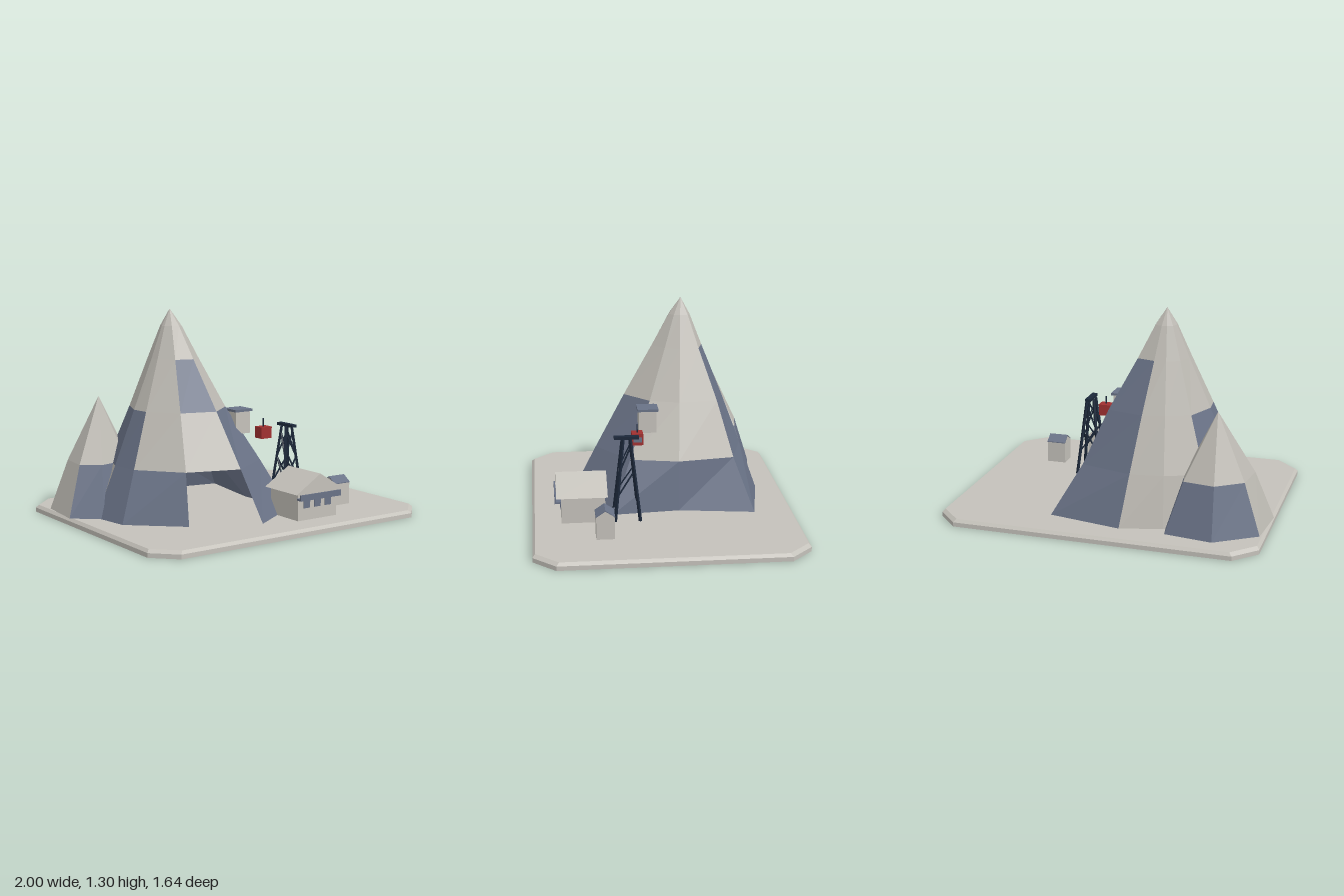
import * as THREE from 'three';

const paint = (name, color, extra = {}) => Object.assign(new THREE.MeshStandardMaterial({ color, ...extra }), { name });

export function createModel() {
  const model = new THREE.Group();
  model.name = 'mountainDiorama';
  const snow = paint('pale stone', 0xc4c1ba);
  const rock = paint('mountain stone', 0xbdbab3, { side: THREE.DoubleSide, flatShading: true });
  const slate = paint('mountain slate', 0x697286, { side: THREE.DoubleSide, flatShading: true });
  const trim = paint('slate trim', 0x697286);
  const steel = paint('dark steel', 0x1c283a);
  const red = paint('cabin red', 0xa03030);

  const add = (name, geometry, material, parent = model) => {
    const mesh = new THREE.Mesh(geometry, material);
    mesh.name = name;
    parent.add(mesh);
    return mesh;
  };
  // box given by its minimum and maximum corners
  const box = (name, a, b, material, parent) => {
    const mesh = add(name, new THREE.BoxGeometry(b[0] - a[0], b[1] - a[1], b[2] - a[2]), material, parent);
    mesh.position.set((a[0] + b[0]) / 2, (a[1] + b[1]) / 2, (a[2] + b[2]) / 2);
    return mesh;
  };
  // square bar between two points
  const bar = (name, a, b, width, material, parent) => {
    const from = new THREE.Vector3(...a), to = new THREE.Vector3(...b);
    const mesh = add(name, new THREE.BoxGeometry(width, width, from.distanceTo(to)), material, parent);
    mesh.position.copy(from).add(to).multiplyScalar(0.5);
    mesh.lookAt(to);
    return mesh;
  };
  // prism from an XY outline, pushed along z
  const prism = (name, points, z0, z1, material, parent) => {
    const shape = new THREE.Shape(points.map(p => new THREE.Vector2(...p)));
    const mesh = add(name, new THREE.ExtrudeGeometry(shape, { depth: z1 - z0, bevelEnabled: false }), material, parent);
    mesh.position.z = z0;
    return mesh;
  };

  // ground plate: clipped corners with a chamfered upper rim
  const octagon = inset => {
    const x = 1 - inset, z = 0.82 - inset, c = 0.135;
    return [[x, z - c], [x - c, z], [c - x, z], [-x, z - c], [-x, c - z], [c - x, -z], [x - c, -z], [x, c - z]];
  };
  const plateRings = [[0, 0], [0.027, 0], [0.045, 0.016]].map(([y, inset]) => octagon(inset).map(([x, z]) => [x, y, z]));
  const plate = [];
  for (let i = 0; i < 8; i++) {
    const j = (i + 1) % 8;
    for (let k = 0; k < 2; k++) {
      const a = plateRings[k], b = plateRings[k + 1];
      plate.push(...a[i], ...b[i], ...a[j], ...b[i], ...b[j], ...a[j]);
    }
    plate.push(...plateRings[2][i], 0, 0.045, 0, ...plateRings[2][j]);
    plate.push(...plateRings[0][j], 0, 0, 0, ...plateRings[0][i]);
  }
  const plateGeometry = new THREE.BufferGeometry();
  plateGeometry.setAttribute('position', new THREE.Float32BufferAttribute(plate, 3));
  plateGeometry.computeVertexNormals();
  add('groundPlate', plateGeometry, snow);

  // peak: spokes of [angle, radius per ring]; the pattern letters paint each
  // spoke's bands from the bottom up (s slate, r rock, . open)
  function peak(name, apex, heights, spokes, pattern) {
    const group = new THREE.Group();
    group.name = name;
    model.add(group);
    const faces = { s: [], r: [] };
    const point = (i, k) => {
      if (k === heights.length) return apex;
      const [degrees, ...radii] = spokes[i % spokes.length];
      const t = degrees * Math.PI / 180;
      return [apex[0] + radii[k] * Math.cos(t), heights[k], apex[2] + radii[k] * Math.sin(t)];
    };
    spokes.forEach((_, i) => heights.forEach((_, k) => {
      const out = faces[pattern[i][k]];
      if (!out) return;
      const a = point(i, k), b = point(i + 1, k), c = point(i, k + 1), d = point(i + 1, k + 1);
      out.push(...a, ...c, ...b);
      if (k < heights.length - 1) out.push(...c, ...d, ...b);
    }));
    for (const [key, part, material] of [['s', 'slateFaces', slate], ['r', 'stoneFaces', rock]]) {
      const geometry = new THREE.BufferGeometry();
      geometry.setAttribute('position', new THREE.Float32BufferAttribute(faces[key], 3));
      geometry.computeVertexNormals();
      add(part, geometry, material, group);
    }
  }
  peak('mainPeak', [-0.3, 1.305, -0.17], [0.045, 0.355, 0.69, 1.0, 1.2], [
    [-33, 0.74, 0.535, 0.37, 0.185, 0.075],
    [7, 0.55, 0.505, 0.33, 0.17, 0.07],
    [40, 0.76, 0.57, 0.35, 0.18, 0.075],
    [76, 0.76, 0.585, 0.39, 0.2, 0.08],
    [112, 0.59, 0.5, 0.34, 0.18, 0.075],
    [152, 0.59, 0.45, 0.3, 0.155, 0.065],
    [177, 0.56, 0.42, 0.275, 0.14, 0.06],
    [220, 0.5, 0.4, 0.26, 0.14, 0.06],
    [257, 0.43, 0.36, 0.24, 0.13, 0.055],
    [288, 0.515, 0.4, 0.27, 0.14, 0.06],
  ], ['srrrr', 'srrrr', 'ssrrr', '.rsrr', 'srrrr', 'ssrrr', 'rsrrr', 'rrrrr', 'rrrrr', 'sssrr']);
  peak('sidePeak', [-0.68, 0.755, -0.415], [0.045, 0.355], [
    [8, 0.31, 0.2], [55, 0.3, 0.19], [115, 0.37, 0.23], [149, 0.375, 0.245],
    [202, 0.315, 0.2], [262, 0.29, 0.19], [316, 0.355, 0.23],
  ], ['rr', 'sr', 'sr', 'rr', 'sr', 'sr', 'sr']);

  // lodge with gable roof, balcony and front windows
  const lodge = new THREE.Group();
  lodge.name = 'lodge';
  model.add(lodge);
  box('lodgeWalls', [0.095, 0.045, 0.37], [0.395, 0.22, 0.64], snow, lodge);
  prism('lodgeRoof', [[0.06, 0.215], [0.425, 0.215], [0.2425, 0.328]], 0.355, 0.67, snow, lodge);
  box('balconyFloor', [0.085, 0.175, 0.64], [0.4, 0.187, 0.68], trim, lodge);
  box('balconyRail', [0.085, 0.187, 0.672], [0.4, 0.212, 0.68], trim, lodge);
  for (const x of [0.16, 0.243, 0.326])
    box('lodgeWindow', [x - 0.025, 0.12, 0.638], [x + 0.025, 0.168, 0.645], trim, lodge);

  // small hut: gable walls along x, two slate roof slopes
  const hut = new THREE.Group();
  hut.name = 'hut';
  model.add(hut);
  const hutBody = prism('hutWalls', [[-0.055, 0.045], [0.055, 0.045], [0.055, 0.185], [0, 0.222], [-0.055, 0.185]], 0, 0.125, snow, hut);
  hutBody.rotation.y = Math.PI / 2;
  hutBody.position.set(0.55, 0, 0.385);
  const hutRoof = prism('hutRoof', [[-0.058, 0.184], [0, 0.222], [0.058, 0.184], [0.058, 0.189], [0, 0.228], [-0.058, 0.189]], 0, 0.127, trim, hut);
  hutRoof.rotation.y = Math.PI / 2;
  hutRoof.position.set(0.549, 0, 0.385);

  // summit station on the slope
  box('stationWalls', [-0.005, 0.52, 0.025], [0.105, 0.66, 0.135], snow);
  box('stationRoof', [-0.015, 0.66, 0.013], [0.115, 0.675, 0.145], trim);

  // cable car
  box('cableCabin', [0.155, 0.482, 0.12], [0.235, 0.555, 0.19], red);
  box('cabinWindow', [0.233, 0.502, 0.128], [0.238, 0.532, 0.182], trim);
  bar('cabinHanger', [0.195, 0.55, 0.155], [0.195, 0.607, 0.155], 0.007, steel);

  // lattice pylon
  const pylon = new THREE.Group();
  pylon.name = 'pylon';
  model.add(pylon);
  const leg = (sx, sz, y) => {
    const r = THREE.MathUtils.mapLinear(y, 0.045, 0.56, 0.078, 0.022);
    return [0.322 + sx * r, y, 0.232 + sz * r];
  };
  for (const s of [-1, 1]) {
    for (const t of [-1, 1]) bar('pylonLeg', leg(s, t, 0.045), leg(s, t, 0.56), 0.015, steel, pylon);
    for (const [y0, y1] of [[0.2, 0.36], [0.36, 0.52]]) {
      bar('pylonBrace', leg(-1, s, y0), leg(1, s, y1), 0.008, steel, pylon);
      bar('pylonBrace', leg(1, s, y0), leg(-1, s, y1), 0.008, steel, pylon);
      bar('pylonBrace', leg(s, 1, y0), leg(s, -1, y1), 0.008, steel, pylon);
    }
  }
  box('pylonHead', [0.304, 0.555, 0.155], [0.34, 0.573, 0.308], steel, pylon);
  return model;
}
